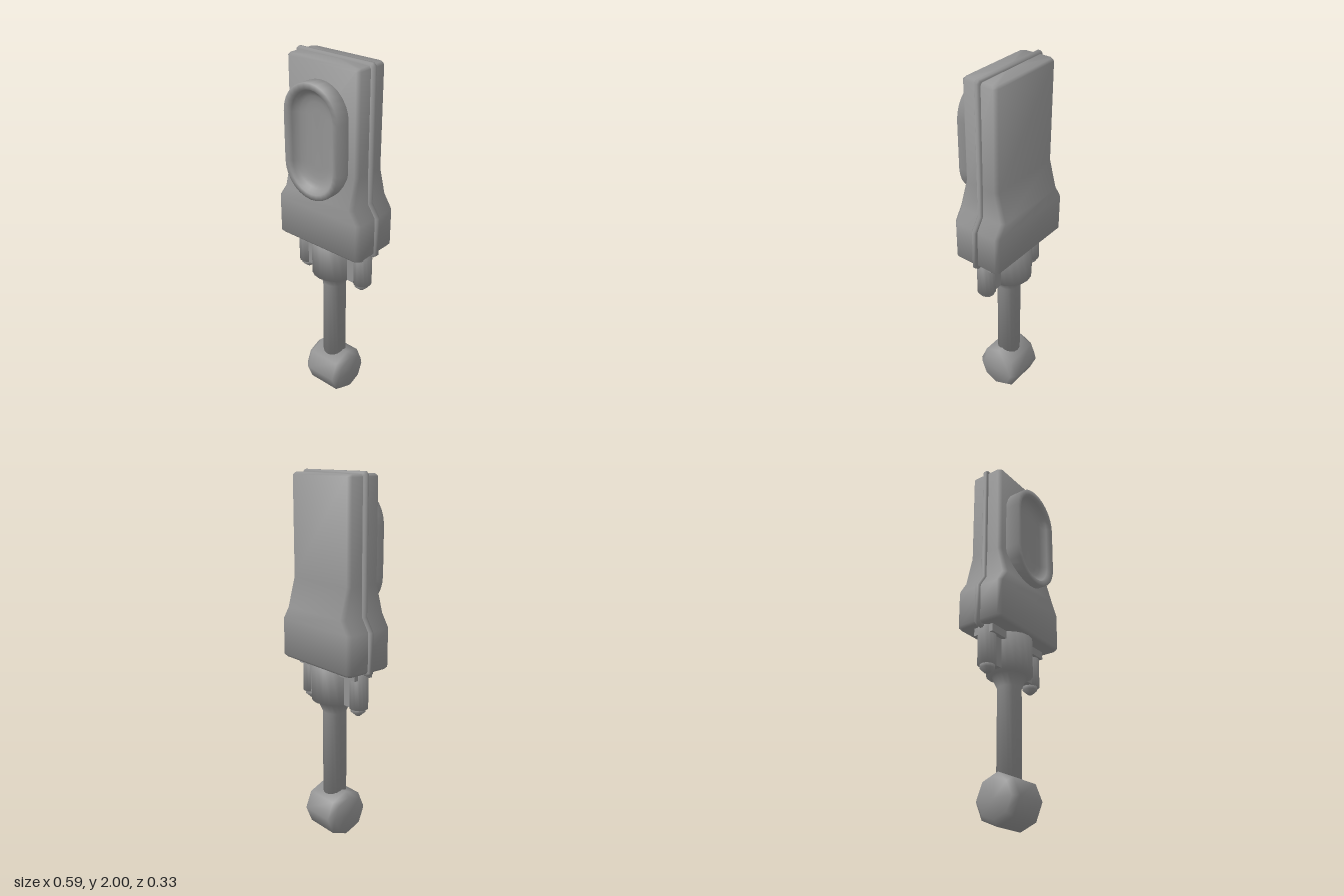
import * as THREE from 'three';
import { toCreasedNormals } from 'three/addons/utils/BufferGeometryUtils.js';

const CZ = -0.02; // depth of the central axis
const SOFT = 1.6; // crease angle that blends the shading over every outer edge

// Skin a stack of closed loops (anticlockwise about the stacking direction), capped at both ends
function loft(rings) {
  const n = rings[0].length, pos = rings.flat(2), idx = [];
  for (let i = 0; i < rings.length - 1; i++) {
    for (let j = 0; j < n; j++) {
      const a = i * n + j, b = i * n + (j + 1) % n;
      idx.push(a, b, b + n, a, b + n, a + n);
    }
  }
  [0, rings.length - 1].forEach((i) => {
    const c = pos.length / 3;
    for (let k = 0; k < 3; k++) pos.push(rings[i].reduce((s, p) => s + p[k], 0) / n);
    for (let j = 0; j < n; j++) {
      const a = i * n + j, b = i * n + (j + 1) % n;
      if (i) idx.push(c, a, b); else idx.push(c, b, a);
    }
  });
  const geo = new THREE.BufferGeometry();
  geo.setAttribute('position', new THREE.Float32BufferAttribute(pos, 3));
  geo.setIndex(idx);
  return toCreasedNormals(geo, SOFT);
}

// Rectangle with cut corners
function cutRect(w, d, c, h) {
  return [[w, -d + c], [w, d - c], [w - c, d], [-w + c, d],
    [-w, d - c], [-w, -d + c], [-w + c, -d], [w - c, -d]].map(([x, y]) => [x, y, h]);
}

// Upright oval with straight sides
function oval(r, z, half = 0.128, seg = 14) {
  const pts = [];
  for (let end = 0; end < 2; end++) {
    for (let i = 0; i <= seg; i++) {
      const a = Math.PI * (end + i / seg);
      pts.push([r * Math.cos(a), r * Math.sin(a) + (end ? -half : half), z]);
    }
  }
  return pts;
}

function lathe(points, seg) {
  return toCreasedNormals(new THREE.LatheGeometry(points.map((p) => new THREE.Vector2(...p)), seg), SOFT);
}

export function createModel() {
  const model = new THREE.Group();
  const mat = new THREE.MeshStandardMaterial({ color: 0x949494 });
  const add = (name, geo, x = 0, y = 0, z = 0) => {
    const mesh = new THREE.Mesh(geo, mat);
    mesh.name = name;
    mesh.position.set(x, y, z);
    model.add(mesh);
  };

  // Casing: [height, half width, half depth, corner cut]
  const levels = [
    [1.003, 0.265, 0.13, 0.018], [1.018, 0.278, 0.143, 0.02], [1.22, 0.278, 0.143, 0.02],
    [1.29, 0.232, 0.143, 0.02], [1.45, 0.228, 0.101, 0.018],
    [1.974, 0.228, 0.101, 0.018], [1.987, 0.217, 0.09, 0.016],
  ];
  const casing = loft(levels.map(([h, w, d, c]) => cutRect(w, d, c, h)));
  casing.rotateX(-Math.PI / 2);
  add('casing', casing, 0, 0, CZ);

  // Seam ridge running around the casing
  const b = 0.008;
  const side = [[0.27, 0.987], [0.293, 1.005], [0.293, 1.22], [0.245, 1.292], [0.245, 1.985], [0.23, 2]];
  const outline = [...side, ...side.map(([x, y]) => [-x, y]).reverse()];
  const ridge = new THREE.ExtrudeGeometry(new THREE.Shape(outline.map((p) => new THREE.Vector2(...p))), {
    depth: 0.014, bevelEnabled: true, bevelThickness: b, bevelSize: b, bevelOffset: -b, bevelSegments: 1,
  });
  add('seamRidge', toCreasedNormals(ridge, SOFT), 0, 0, CZ - 0.007);

  // Raised oval rim with a hollow thumb dish
  const dish = [[0.172, 0.06], [0.172, 0.163], [0.143, 0.163], [0.134, 0.147],
    [0.12, 0.131], [0.1, 0.119], [0.07, 0.112], [0.03, 0.11]];
  add('thumbDish', loft(dish.map(([r, z]) => oval(r, z))), 0, 1.6, 0);

  // Hub flaring out of the shaft
  add('hubAndShaft', lathe([[0, 0.2], [0.065, 0.2], [0.065, 0.725], [0.095, 0.79],
    [0.125, 0.796], [0.125, 1.03], [0, 1.03]], 18), 0, 0, CZ);

  // Side posts with pins, joined to the hub
  add('web', new THREE.BoxGeometry(0.39, 0.204, 0.07), 0, 0.898, CZ);
  add('collarPlate', new THREE.BoxGeometry(0.46, 0.06, 0.12), 0, 0.99, CZ);
  for (const s of [1, -1]) {
    const name = s > 0 ? 'left' : 'right';
    add(name + 'Post', lathe([[0, 0.795], [0.05, 0.795], [0.05, 1.03], [0, 1.03]], 14), s * 0.197, 0, CZ);
    add(name + 'Pin', lathe([[0, 0.75], [0.014, 0.753], [0.04, 0.776], [0.04, 0.8], [0, 0.8]], 12),
      s * 0.192, 0, CZ);
  }

  // Eight-sided knob lying across the end of the shaft
  const knob = lathe([[0, -0.124], [0.104, -0.124], [0.133, -0.095], [0.133, 0.095], [0.104, 0.124], [0, 0.124]], 8);
  knob.rotateZ(Math.PI / 2);
  add('knob', knob, 0, 0.133, CZ);

  return model;
}
